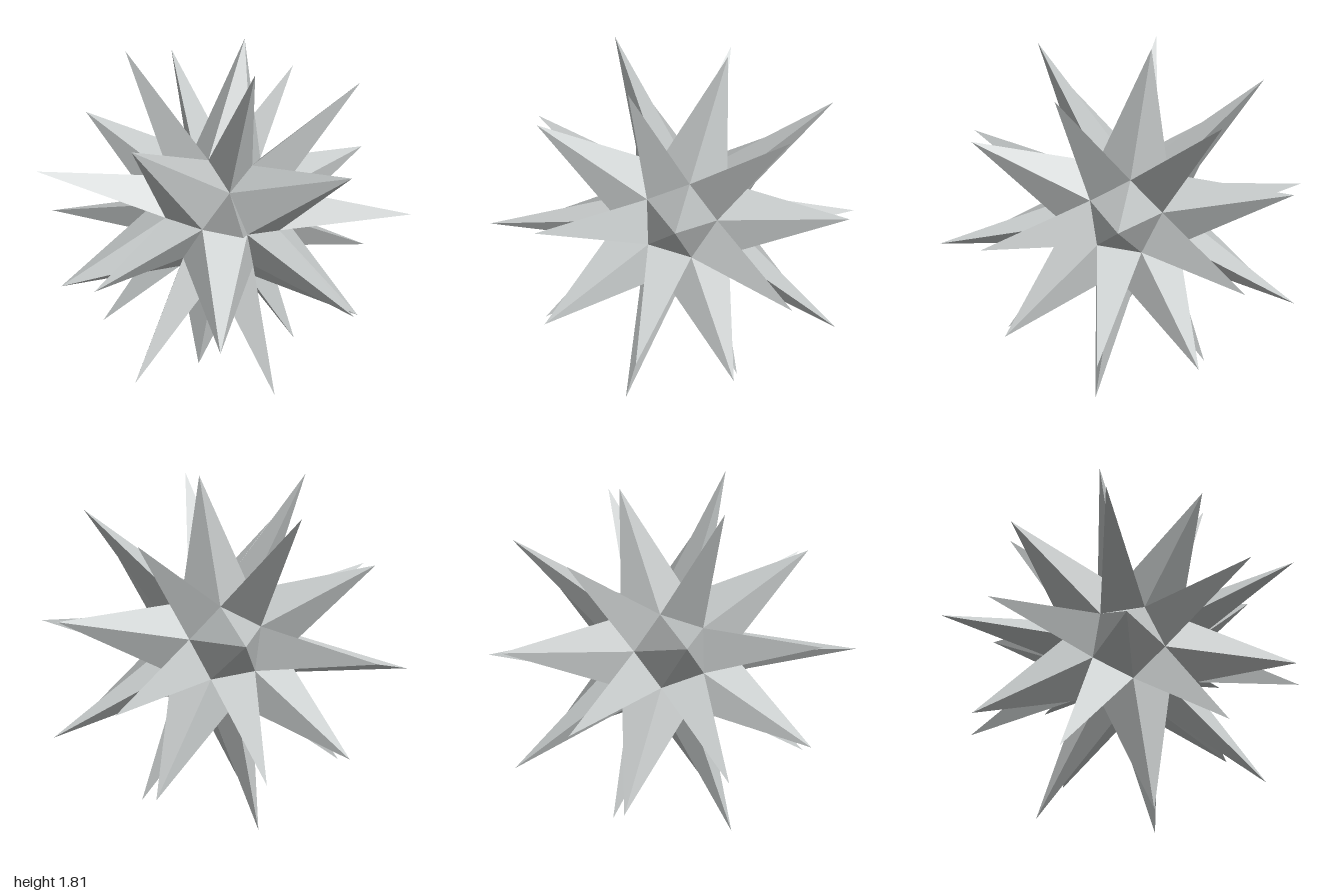
import * as THREE from 'three';

const PHI = (1 + Math.sqrt(5)) / 2;
const CORE_RADIUS = 0.37;
const PENTAGON_TIP = 0.935;
const TRIANGLE_TIP = 1.015;
const HALF_HEIGHT = 0.905;

// All sign changes and cyclic permutations of a point, as unit directions
function directions(x, y, z) {
  const found = [];
  for (const [a, b, c] of [[x, y, z], [y, z, x], [z, x, y]]) {
    for (const sx of [1, -1]) for (const sy of [1, -1]) for (const sz of [1, -1]) {
      const d = new THREE.Vector3(a * sx, b * sy, c * sz).normalize();
      if (!found.some((f) => f.distanceTo(d) < 1e-4)) found.push(d);
    }
  }
  return found;
}

// Flat-sided pyramid from the core corners nearest to an axis up to its tip
function spikeGeometry(axis, sides, tipRadius, corners) {
  const side = new THREE.Vector3(0.31, 0.47, 0.83).cross(axis).normalize();
  const up = axis.clone().cross(side);
  const angle = (p) => Math.atan2(p.dot(up), p.dot(side));
  const base = [...corners]
    .sort((p, q) => q.dot(axis) - p.dot(axis))
    .slice(0, sides)
    .sort((p, q) => angle(p) - angle(q));
  const tip = axis.clone().multiplyScalar(tipRadius);
  const points = [];
  base.forEach((p, i) => points.push(p, base[(i + 1) % sides], tip));
  const geometry = new THREE.BufferGeometry().setFromPoints(points);
  geometry.computeVertexNormals();
  return geometry;
}

export function createModel() {
  const model = new THREE.Group();
  model.name = 'spikyStar';

  const grey = new THREE.MeshStandardMaterial({ color: 0xc4c8c8 });
  grey.name = 'paleGrey';
  grey.flatShading = true;

  // Thirty corners of the hidden core, where the spikes meet
  const corners = [...directions(0, 0, 1), ...directions(1 / PHI, PHI, 1)]
    .map((d) => d.multiplyScalar(CORE_RADIUS));

  // Twelve five-sided spikes and twenty three-sided ones
  const kinds = [
    { name: 'fiveSidedSpike', sides: 5, tip: PENTAGON_TIP, axes: directions(0, 1, PHI) },
    {
      name: 'threeSidedSpike', sides: 3, tip: TRIANGLE_TIP,
      axes: [...directions(1, 1, 1), ...directions(1 / PHI, 0, PHI)],
    },
  ];

  const star = new THREE.Group();
  star.name = 'spikes';
  for (const { name, sides, tip, axes } of kinds) {
    axes.forEach((axis, i) => {
      const spike = new THREE.Mesh(spikeGeometry(axis, sides, tip, corners), grey);
      spike.name = `${name}${i + 1}`;
      star.add(spike);
    });
  }

  // Tilted so that it rests on three tips, then turned about the vertical
  star.rotation.set(
    THREE.MathUtils.degToRad(-72.72), THREE.MathUtils.degToRad(-12), 0, 'YXZ');
  star.position.y = HALF_HEIGHT;
  model.add(star);
  return model;
}
